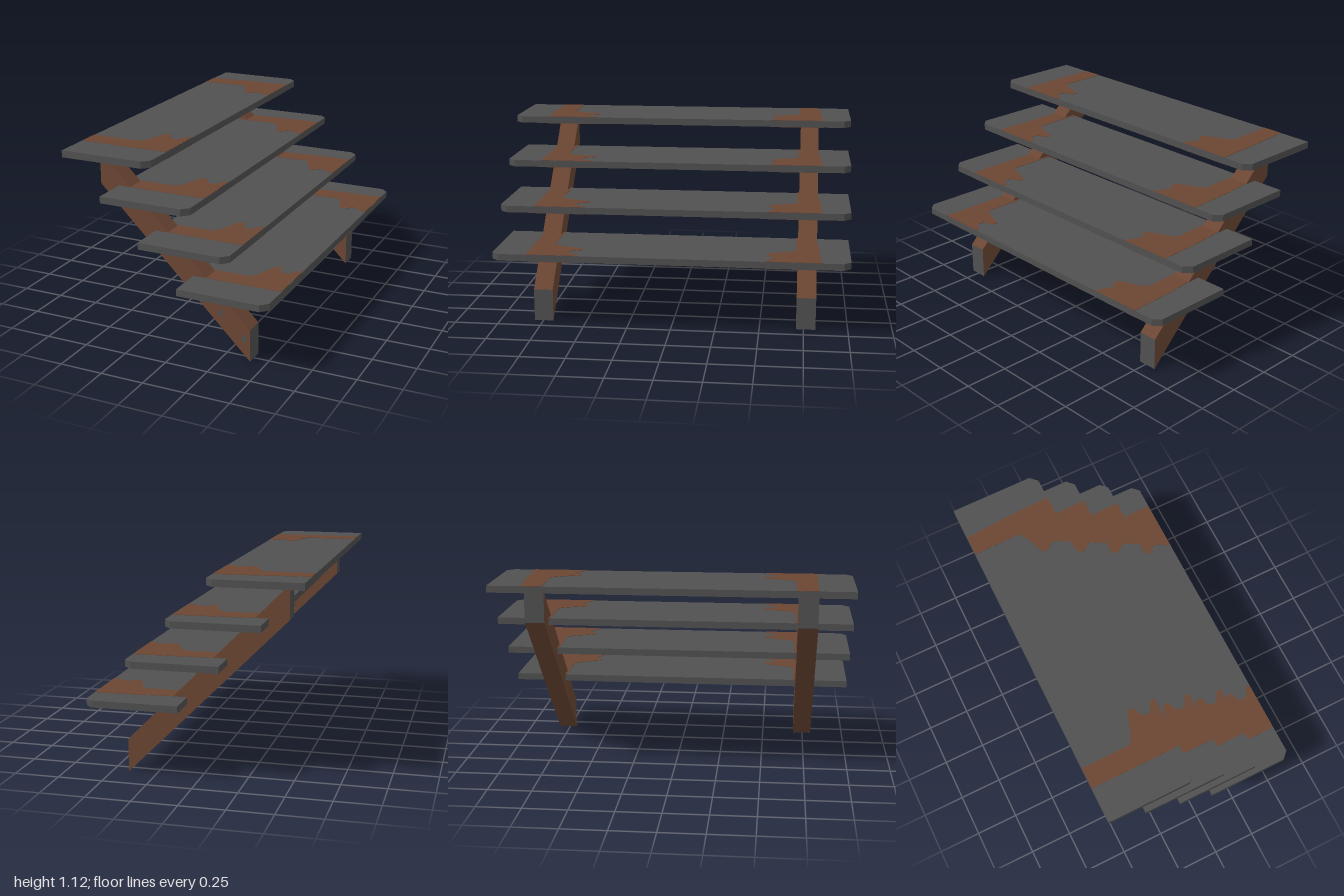
import * as THREE from 'three';

export function createModel() {
  const stairs = new THREE.Group();
  stairs.name = 'stairs';
  const grey = new THREE.MeshStandardMaterial({ color: 0x505050 });
  grey.name = 'stone grey';
  const brown = new THREE.MeshStandardMaterial({ color: 0x6b4633 });
  brown.name = 'rust brown';

  const add = (parent, geometry, material, name) => {
    const mesh = new THREE.Mesh(geometry, material);
    mesh.name = name;
    parent.add(mesh);
    return mesh;
  };

  // Flat slab from an outline in x and z, centred in height on y = 0
  const slab = (points, depth) => {
    const shape = new THREE.Shape(points.map(([x, z]) => new THREE.Vector2(x, z)));
    return new THREE.ExtrudeGeometry(shape, { depth, bevelEnabled: false })
      .rotateX(Math.PI / 2)
      .translate(0, depth / 2, 0);
  };

  // Tread board with its two front corners cut off
  const width = 0.515, thick = 0.038, cut = 0.04;
  const board = slab([
    [0, -1], [width - cut, -1], [width, -1 + cut],
    [width, 1 - cut], [width - cut, 1], [0, 1],
  ], thick);

  // Worn patches, inlaid through the board so they show above and below
  const patchDepth = thick + 0.004, edge = width - 0.001;
  const leftPatch = slab([
    [0.001, 0.8], [0.001, 0.68], [0.28, 0.68], [0.31, 0.64], [0.355, 0.505],
    [0.39, 0.505], [0.41, 0.56], [0.44, 0.57], [0.465, 0.56], [0.49, 0.51],
    [edge, 0.505], [edge, 0.8],
  ], patchDepth);
  const rightPatch = slab([
    [0.001, -0.81], [0.25, -0.83], [edge, -0.838], [edge, -0.53], [0.49, -0.54],
    [0.46, -0.56], [0.42, -0.575], [0.38, -0.54], [0.35, -0.54],
    [0.3, -0.66], [0.27, -0.7], [0.001, -0.695],
  ], patchDepth);

  for (let i = 0; i < 4; i++) {
    const tread = new THREE.Group();
    tread.name = `tread${i + 1}`;
    tread.position.set(0.073 - 0.221 * i, 0.424 + 0.2247 * i, 0);
    add(tread, board, grey, 'board');
    add(tread, leftPatch, brown, 'leftPatch');
    add(tread, rightPatch, brown, 'rightPatch');
    stairs.add(tread);
  }

  // Sloping beams: sheared boxes with upright grey ends
  const beam = new THREE.BoxGeometry(0.89, 0.186, 0.11);
  const pos = beam.attributes.position;
  for (let i = 0; i < pos.count; i++) pos.setY(i, pos.getY(i) - pos.getX(i));
  beam.computeVertexNormals();
  const sides = [grey, grey, brown, brown, brown, brown];
  for (const [name, z] of [['leftBeam', 0.747], ['rightBeam', -0.763]]) {
    add(stairs, beam, sides, name).position.set(-0.035, 0.538, z);
  }

  // Small worn spots on the outer face of the left beam
  for (const [x, y] of [[0.236, 0.256], [0.376, 0.13]]) {
    const spot = add(stairs, new THREE.CircleGeometry(0.015, 8), grey, 'wornSpot');
    spot.scale.y = 1.5;
    spot.position.set(x, y, 0.804);
  }
  return stairs;
}
